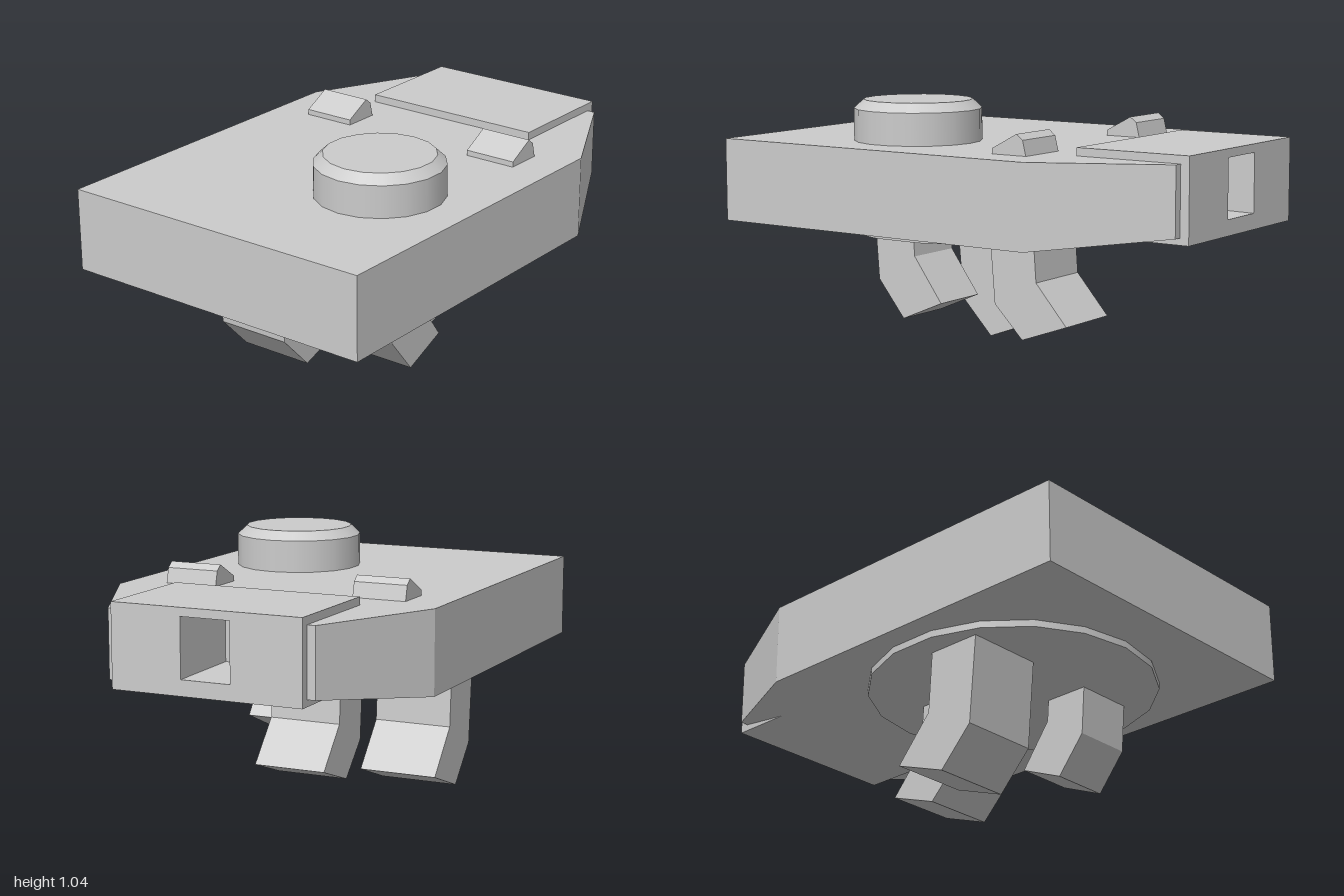
import * as THREE from 'three';

const material = new THREE.MeshStandardMaterial({ color: 0xcccccc });

function part(name, geometry) {
  const mesh = new THREE.Mesh(geometry, material);
  mesh.name = name;
  return mesh;
}

// Side profile (x, y) extruded from z0 to z1
function prism(points, z0, z1) {
  const shape = new THREE.Shape(points.map(([x, y]) => new THREE.Vector2(x, y)));
  const g = new THREE.ExtrudeGeometry(shape, { depth: z1 - z0, bevelEnabled: false });
  return g.translate(0, 0, z0);
}

// Slab with a tapered nose; the nose end is open behind the front block
function bodyGeometry() {
  const box = new THREE.BoxGeometry(2, 1, 2, 2, 1, 3);
  const index = Array.from(box.index.array);
  index.splice(6, 6); // middle panel of the nose end
  box.setIndex(index);
  const g = box.toNonIndexed();
  const p = g.attributes.position;
  for (let i = 0; i < p.count; i++) {
    const column = Math.round(p.getX(i)) + 1;
    const nose = column === 2;
    const z = p.getZ(i);
    const half = Math.abs(z) > 0.5 ? (nose ? 0.428 : 0.678) : 0.39;
    const bottom = nose ? 0.597 : 0.535;
    p.setXYZ(i, [-1, 0.46, 0.963][column], p.getY(i) > 0 ? 0.87 : bottom, Math.sign(z) * half);
  }
  g.computeVertexNormals();
  return g;
}

// Front block with a slightly narrowing square socket
function blockGeometry() {
  const rect = (C, w, y0, y1) => new C([[-w, y0], [w, y0], [w, y1], [-w, y1]]
    .map(([x, y]) => new THREE.Vector2(x, y)));
  const shape = rect(THREE.Shape, 0.394, 0.57, 0.902);
  shape.holes.push(rect(THREE.Path, 0.102, 0.633, 0.868));
  const g = new THREE.ExtrudeGeometry(shape, { depth: 0.49, bevelEnabled: false });
  const p = g.attributes.position;
  for (let i = 0; i < p.count; i++) {
    if (p.getZ(i) < 0.1 && Math.abs(p.getX(i)) < 0.2) {
      p.setX(i, p.getX(i) * 0.92);
      p.setY(i, 0.75 + (p.getY(i) - 0.75) * 0.92);
    }
  }
  g.computeVertexNormals();
  return g.rotateY(Math.PI / 2).translate(0.51, 0, 0);
}

export function createModel() {
  const group = new THREE.Group();
  group.add(part('body', bodyGeometry()));
  group.add(part('frontBlock', blockGeometry()));
  group.add(part('socketFloor', new THREE.BoxGeometry(0.1, 0.235, 0.204).translate(0.61, 0.75, 0)));

  // Round hatch with a chamfered rim
  const hatch = new THREE.Group();
  hatch.name = 'hatch';
  hatch.add(part('hatchWall', new THREE.CylinderGeometry(0.258, 0.258, 0.135, 18, 1, true).translate(0, 0.9325, 0)));
  hatch.add(part('hatchTop', new THREE.CylinderGeometry(0.22, 0.258, 0.036, 18).translate(0, 1.018, 0)));
  hatch.position.set(-0.33, 0, 0.27);
  hatch.rotation.y = Math.PI / 2;
  group.add(hatch);

  // Disc under the body that carries the claws
  const disc = part('baseDisc', new THREE.CylinderGeometry(0.585, 0.585, 0.04, 18));
  disc.rotation.y = Math.PI / 2;
  disc.position.set(-0.205, 0.527, 0);
  group.add(disc);

  // Wedge sights on the deck
  const wedge = [[0.21, 0.86], [0.365, 0.86], [0.365, 0.87], [0.35, 0.93], [0.322, 0.952], [0.21, 0.892]];
  group.add(part('leftSight', prism(wedge, 0.297, 0.518)));
  group.add(part('rightSight', prism(wedge, -0.518, -0.297)));

  // Three bent claws hanging from the disc
  const claws = [
    ['frontClaw', 0.155, 0.405,
      [[-0.446, 0.52], [-0.43, 0.31], [-0.308, 0.16], [-0.12, 0.24], [-0.25, 0.418], [-0.258, 0.52]]],
    ['middleClaw', -0.15, 0.155,
      [[-0.062, 0.52], [-0.036, 0.21], [0.098, 0.075], [0.31, 0.15], [0.165, 0.315], [0.15, 0.52]]],
    ['rearClaw', -0.477, -0.148,
      [[-0.447, 0.52], [-0.415, 0.15], [-0.272, 0], [-0.045, 0.083], [-0.2, 0.26], [-0.217, 0.52]]],
  ];
  for (const [name, z0, z1, profile] of claws) group.add(part(name, prism(profile, z0, z1)));

  return group;
}
